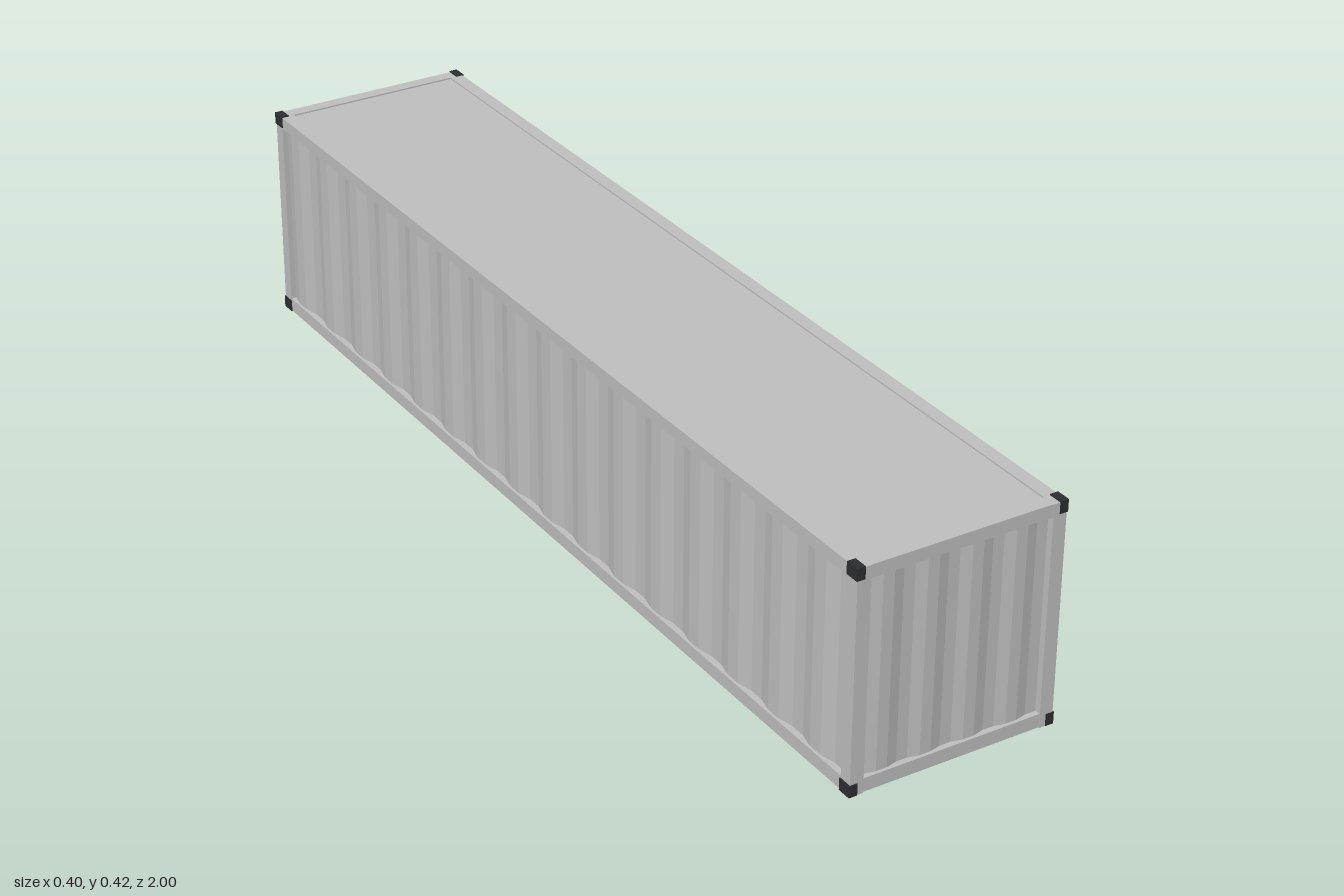
import * as THREE from 'three';

const W = 0.2, H = 0.422, Z0 = -0.99, Z1 = 0.999; // frame extents
const T = 0.026;                                  // frame bar thickness
const ZM = 0.005;                                 // middle of the frame

const steel = new THREE.MeshStandardMaterial({ color: 0xbfbfbf });
steel.name = 'light grey steel';
const casting = new THREE.MeshStandardMaterial({ color: 0x2c2e31 });
casting.name = 'dark casting';
const black = new THREE.MeshStandardMaterial({ color: 0x16181a });
black.name = 'black hardware';

// Box given by its min and max corners
function box(parent, name, mat, x0, x1, y0, y1, z0, z1) {
  const m = new THREE.Mesh(new THREE.BoxGeometry(x1 - x0, y1 - y0, z1 - z0), mat);
  m.position.set((x0 + x1) / 2, (y0 + y1) / 2, (z0 + z1) / 2);
  m.name = name;
  parent.add(m);
  return m;
}

// Upright trapezoid-corrugated sheet, outside facing +z, crests at z = 0
function corrugatedSheet(name, width, periods, depth, height) {
  const step = width / (periods * 4), thick = 0.003;
  const outer = [], inner = [];
  for (let i = 0; i <= periods * 4; i++) {
    const crest = i % 4 === 1 || i % 4 === 2;
    const x = -width / 2 + i * step, y = crest ? 0 : depth;
    outer.push(new THREE.Vector2(x, y));
    inner.push(new THREE.Vector2(x, y + thick));
  }
  const shape = new THREE.Shape([...outer, ...inner.reverse()]);
  const geo = new THREE.ExtrudeGeometry(shape, { depth: height, bevelEnabled: false });
  geo.rotateX(-Math.PI / 2);
  const m = new THREE.Mesh(geo, steel);
  m.name = name;
  return m;
}

export function createModel() {
  const model = new THREE.Group();
  model.name = 'cargoContainer';

  // Frame: posts, long rails and end sills
  const frame = new THREE.Group();
  frame.name = 'frame';
  model.add(frame);
  for (const s of [-1, 1]) {
    const x0 = s > 0 ? W - T : -W, x1 = x0 + T;
    box(frame, 'frontPost', steel, x0, x1, 0, H, Z1 - T, Z1);
    box(frame, 'backPost', steel, x0, x1, 0, H, Z0 + 0.001, Z0 + T);
    box(frame, 'bottomRail', steel, x0, x1, 0.001, 0.027, Z0 + T, Z1 - T);
    box(frame, 'topRail', steel, x0, x1, 0.398, H, Z0 + T, Z1 - T);
  }
  for (const [end, z0] of [['front', Z1 - T], ['back', Z0 + 0.001]]) {
    box(frame, end + 'Sill', steel, -W + T, W - T, 0.001, 0.027, z0, z0 + T - 0.001);
    box(frame, end + 'Header', steel, -W + T, W - T, 0.398, H, z0, z0 + T - 0.001);
  }

  // Corner castings
  for (const s of [-1, 1]) for (const z of [Z0, 1 - 0.028]) for (const y of [0, 0.401]) {
    const x0 = s > 0 ? 0.186 : -0.202;
    box(model, 'cornerCasting', casting, x0, x0 + 0.016, y, y + 0.023, z, z + 0.028);
  }

  // Roof panel, slightly recessed between the rails
  box(model, 'roof', steel, -W + T, W - T, 0.408, 0.419, Z0 + T, Z1 - T);

  // Corrugated side walls and front wall
  for (const s of [-1, 1]) {
    const wall = corrugatedSheet('sideWall', 1.934, 16, 0.007, 0.366);
    wall.rotation.y = s * Math.PI / 2;
    wall.position.set(s * 0.197, 0.0295, ZM);
    model.add(wall);
  }
  const front = corrugatedSheet('frontWall', 0.34, 4, 0.005, 0.366);
  front.position.set(0, 0.0305, 0.996);
  model.add(front);

  // Rear doors with locking rods, handles and hinges
  for (const s of [-1, 1]) {
    const door = new THREE.Group();
    door.name = s > 0 ? 'leftDoor' : 'rightDoor';
    model.add(door);
    const a = s * 0.0015, b = s * 0.17;
    box(door, 'doorPanel', steel, Math.min(a, b), Math.max(a, b), 0.0305, 0.3965, -0.985, -0.975);
    for (const x of [0.024, 0.0715, 0.119]) {
      const rod = new THREE.Mesh(new THREE.CylinderGeometry(0.0045, 0.0045, 0.32, 10), black);
      rod.position.set(s * x, 0.215, -0.9905);
      rod.name = 'lockingRod';
      door.add(rod);
    }
    box(door, 'handle', black, s * 0.024 - 0.007, s * 0.024 + 0.007, 0.195, 0.225, -1, -0.985);
    for (const y of [0.065, 0.215, 0.36]) {
      box(door, 'hinge', black, s * 0.172 - 0.008, s * 0.172 + 0.008, y - 0.016, y + 0.016, -0.997, -0.983);
    }
  }
  return model;
}
